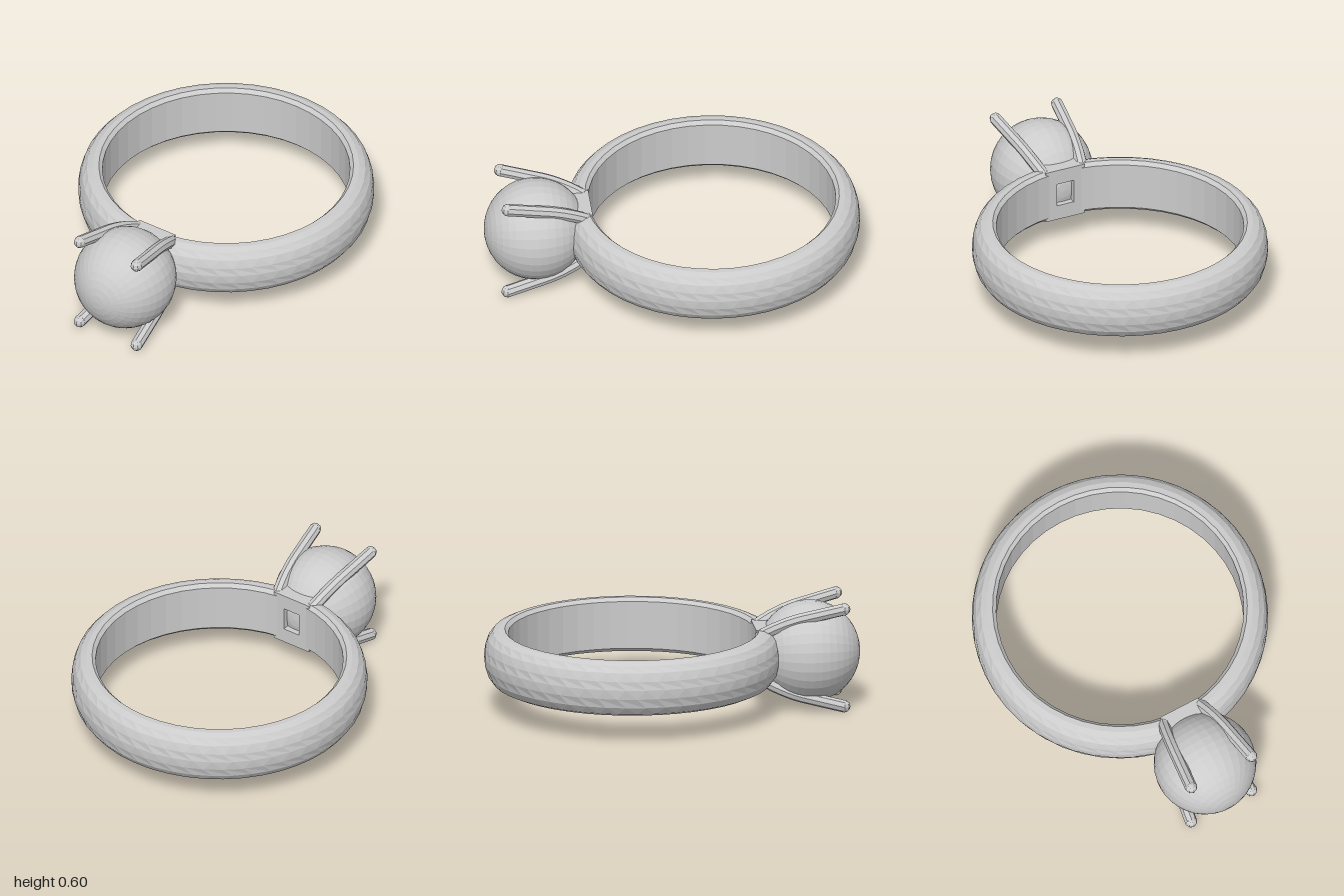
import * as THREE from 'three';

const MID = 0.3; // height of the ring's middle plane

export function createModel() {
  const group = new THREE.Group();
  const flat = new THREE.MeshStandardMaterial({ color: 0xcccccc, flatShading: true, side: THREE.DoubleSide });
  const add = (name, geometry, parent = group) => {
    const mesh = new THREE.Mesh(geometry, flat);
    mesh.name = name;
    parent.add(mesh);
    return mesh;
  };

  // Band: domed outside, flat inside, open where the setting sits
  const outer = [
    [0.675, -0.147], [0.705, -0.146], [0.74, -0.13], [0.768, -0.09], [0.782, -0.04],
    [0.785, 0.01], [0.779, 0.055], [0.764, 0.1], [0.738, 0.132], [0.705, 0.147], [0.675, 0.148],
  ];
  const profile = [...outer, [0.656, 0.128], [0.656, -0.128], outer[0]];
  const segments = 44;
  const gap = 0.115;
  const bandGeometry = new THREE.LatheGeometry(
    profile.map(([r, y]) => new THREE.Vector2(r, y)), segments, gap, Math.PI * 2 - gap * 2);
  // Stagger alternate outer rows for a faceted, hand-worked surface
  const pos = bandGeometry.attributes.position;
  for (let i = 0; i < pos.count; i++) {
    const row = i % profile.length;
    if (row < 2 || row > 8) continue;
    const turn = (row % 2 ? 1 : -1) * 0.03;
    const x = pos.getX(i), z = pos.getZ(i);
    pos.setX(i, x * Math.cos(turn) + z * Math.sin(turn));
    pos.setZ(i, z * Math.cos(turn) - x * Math.sin(turn));
  }
  add('band', bandGeometry).position.set(0, MID, -0.215);

  // Round stone with its poles facing front and back
  const stone = add('stone', new THREE.SphereGeometry(0.272, 32, 20));
  stone.rotation.x = Math.PI / 2;
  stone.position.set(-0.005, MID, 0.727);

  // Setting: small frame with a square window behind the stone
  const rectangle = (Type, w, h) => new Type([
    new THREE.Vector2(-w, -h), new THREE.Vector2(w, -h), new THREE.Vector2(w, h), new THREE.Vector2(-w, h),
  ]);
  const frameShape = rectangle(THREE.Shape, 0.115, 0.148);
  frameShape.holes.push(rectangle(THREE.Path, 0.05, 0.065));
  add('settingFrame', new THREE.ExtrudeGeometry(frameShape, { depth: 0.13, bevelEnabled: false }))
    .position.set(0, MID, 0.433);

  // Four curved claws with rounded ends
  const radius = 0.033;
  for (const sx of [-1, 1]) {
    for (const sy of [-1, 1]) {
      const claw = new THREE.Group();
      claw.name = `${sy > 0 ? 'upper' : 'lower'}${sx > 0 ? 'Left' : 'Right'}Claw`;
      const points = [
        [0.112, 0.122, 0.465], [0.13, 0.162, 0.54], [0.148, 0.202, 0.64], [0.163, 0.23, 0.75], [0.182, 0.265, 0.895],
      ].map(([x, y, z]) => new THREE.Vector3(sx * x, MID + sy * y, z));
      add('clawShaft', new THREE.TubeGeometry(new THREE.CatmullRomCurve3(points), 12, radius, 8), claw);
      for (const end of [points[0], points[4]]) {
        add('clawEnd', new THREE.SphereGeometry(radius, 8, 6), claw).position.copy(end);
      }
      group.add(claw);
    }
  }
  return group;
}
